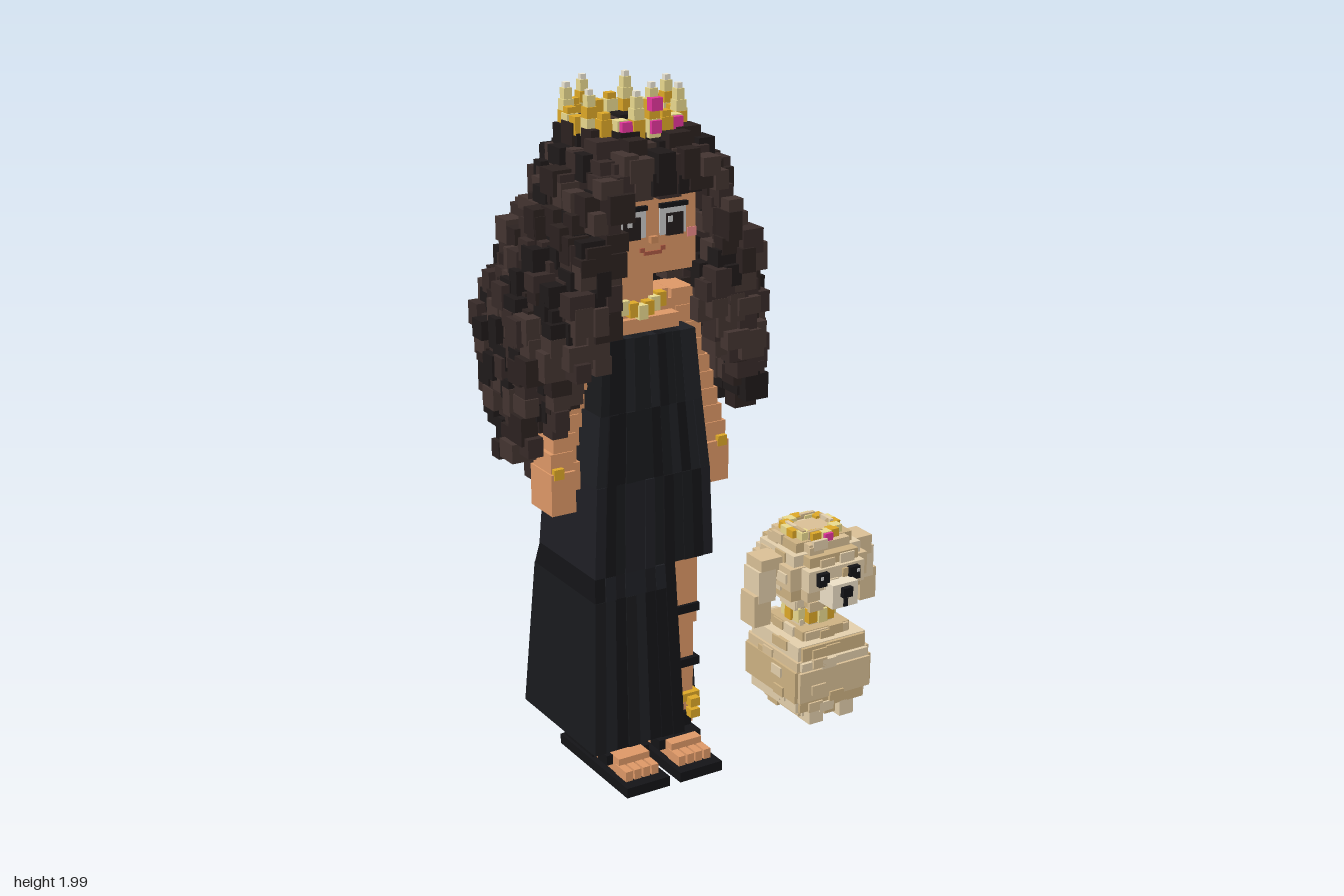
import * as THREE from 'three';
import { mergeGeometries } from 'three/addons/utils/BufferGeometryUtils.js';

const SKIN = 0xe09a68, BLACK = 0x141417, GOLD = 0xe0aa28, PALE = 0xecdc90, PINK = 0xe8379f;
const HAIR = [0x2c2220, 0x382b29, 0x1f1a1a, 0x443531];
const CLOTH = [0x141417, 0x191a1d, 0x1e1f24];
const FUR = [0xdcc298, 0xe6d2ae, 0xd0b484];

let seed = 7;
const rnd = () => (seed = (seed * 16807) % 2147483647) / 2147483647;
const pick = list => list[Math.floor(rnd() * list.length)];
const lerp = THREE.MathUtils.lerp;

// Linear interpolation in rows [y, a, b, ...] sorted by rising y
function sample(rows, y) {
  let i = 0;
  while (i < rows.length - 2 && y > rows[i + 1][0]) i++;
  const [p, q] = [rows[i], rows[i + 1]];
  const t = THREE.MathUtils.clamp((y - p[0]) / (q[0] - p[0]), 0, 1);
  return p.slice(1).map((v, k) => lerp(v, q[k + 1], t));
}

// Collects blocks by colour and merges them into one named group
class Part {
  constructor(name) { this.name = name; this.byColor = new Map(); }
  add(geo, color) {
    if (!this.byColor.has(color)) this.byColor.set(color, []);
    this.byColor.get(color).push(geo);
  }
  block(x, y, z, w, h, d, color) {
    this.add(new THREE.BoxGeometry(w, h, d).translate(x, y, z), color);
  }
  span(x0, x1, y0, y1, z0, z1, color) {
    this.block((x0 + x1) / 2, (y0 + y1) / 2, (z0 + z1) / 2, x1 - x0, y1 - y0, z1 - z0, color);
  }
  // Tapered block; lo and hi are [x0, x1, z0, z1] at the bottom and top
  taper(y0, y1, lo, hi, color) {
    const geo = new THREE.BoxGeometry(1, 1, 1), p = geo.attributes.position;
    for (let i = 0; i < p.count; i++) {
      const top = p.getY(i) > 0, r = top ? hi : lo;
      p.setXYZ(i, r[p.getX(i) > 0 ? 1 : 0], top ? y1 : y0, r[p.getZ(i) > 0 ? 3 : 2]);
    }
    geo.computeVertexNormals();
    this.add(geo, color);
  }
  build() {
    const g = new THREE.Group();
    g.name = this.name;
    for (const [color, geos] of this.byColor) {
      const m = new THREE.Mesh(mergeGeometries(geos), new THREE.MeshStandardMaterial({ color }));
      m.name = this.name + 'Blocks';
      g.add(m);
    }
    return g;
  }
}

const CX = -0.22; // middle of the woman

function head() {
  const p = new Part('head');
  p.span(-0.36, -0.085, 1.48, 1.75, -0.1, 0.19, SKIN);
  p.span(-0.3, -0.13, 1.75, 1.825, 0, 0.12, SKIN);
  p.span(-0.27, -0.17, 1.3, 1.49, 0, 0.11, SKIN);
  for (const s of [-1, 1]) {
    const x = CX + s * 0.062;
    p.block(x, 1.62, 0.19, 0.08, 0.075, 0.01, 0xe4e4e4);
    p.block(x + s * 0.004, 1.61, 0.195, 0.052, 0.06, 0.01, 0x241c1c);
    p.block(x - 0.012, 1.625, 0.199, 0.014, 0.016, 0.008, 0xffffff);
    p.block(x, 1.663, 0.195, 0.085, 0.012, 0.016, BLACK);
    p.block(x, 1.695, 0.195, 0.09, 0.014, 0.016, 0x2c2220);
    p.block(CX + s * 0.122, 1.58, 0.19, 0.028, 0.025, 0.006, 0xf08a8a);
    p.block(CX + s * 0.032, 1.548, 0.19, 0.014, 0.012, 0.01, 0xb05a44);
  }
  p.block(CX, 1.575, 0.195, 0.022, 0.018, 0.02, 0xd08c5c);
  p.block(CX, 1.538, 0.19, 0.055, 0.01, 0.01, 0xb05a44);
  return p.build();
}

// Half width, back z and front z of the hair by height
const HAIR_ROWS = [
  [0.8, 0.33, -0.32, 0.24], [1.1, 0.365, -0.32, 0.27], [1.35, 0.37, -0.305, 0.295],
  [1.55, 0.31, -0.255, 0.315], [1.7, 0.235, -0.19, 0.3], [1.79, 0.19, -0.13, 0.28], [1.85, 0.14, -0.09, 0.2],
];
// Half width of the opening in front of face, neck and dress
const OPENING = [[0.8, 0.34], [1.05, 0.31], [1.15, 0.25], [1.3, 0.17], [1.44, 0.1], [1.49, 0.15], [1.72, 0.15]];

// Height where the hair ends; x is measured from the middle of the head
function hairEnd(x, z) {
  if (z < -0.13) return 0.84 + (x > 0 ? 0.09 : 0.17) * (x / 0.3) ** 2;
  if (z > 0.19) return 1.1;
  if (x < 0) return z > 0.07 ? 0.96 : 1.12;
  return z < 0.02 ? 1.14 : 1.07;
}

function hair() {
  const p = new Part('hair'), step = 0.046;
  p.span(-0.37, -0.07, 1.45, 1.79, -0.15, 0.1, HAIR[2]);
  p.span(-0.36, -0.08, 1.73, 1.81, -0.1, 0.22, HAIR[2]);
  for (let y = 0.82; y < 1.85; y += step)
    for (let x = -0.4; x < 0.4; x += step)
      for (let z = -0.34; z < 0.34; z += step) {
        const [w, zb, zf] = sample(HAIR_ROWS, y);
        const zc = (zb + zf) / 2, n = z > zc ? 3.6 : 2.1;
        // Fuller at the front right, thinner at the back left
        const side = x < 0 ? (z > zc ? 1.03 : 1) : (z < zc ? 0.97 : 1);
        const r = Math.pow(Math.abs(x / w / side), n) + Math.pow(Math.abs((z - zc) / ((zf - zb) / 2)), n);
        if (r > 0.97 || (r < 0.3 && y < 1.74)) continue;
        const open = sample(OPENING, y)[0];
        if (y < 1.7 && z > (y > 1.47 ? 0.1 : -0.12) && Math.abs(x) < open + 0.015) continue;
        if (y > 1.76 && x > -0.08 && x < 0.09 && z > -0.02 && z < 0.13) continue;
        if (y < hairEnd(x, z) + (rnd() - 0.5) * 0.08) continue;
        const j = () => (rnd() - 0.5) * 0.03;
        p.block(CX + x + j(), y + j(), z + j(), 0.04 + rnd() * 0.035, 0.045 + rnd() * 0.035, 0.04 + rnd() * 0.035, pick(HAIR));
      }
  return p.build();
}

// Ring of blocks; the tall version gets stepped points and more gems
function ringCrown(name, cx, cy, cz, r, n, size, gems, tall) {
  const p = new Part(name);
  for (let i = 0; i < n; i++) {
    const a = i / n * Math.PI * 2, x = cx + Math.sin(a) * r, z = cz + Math.cos(a) * r;
    p.block(x, cy, z, size, size * 1.45, size, i % 2 ? GOLD : PALE);
    if (!tall) continue;
    const h = i === 0 ? 0.05 : 0.03, top = cy + size * 0.72;
    if (i % 3 === 0) {
      p.block(x, top + h / 2, z, 0.031, h, 0.031, i % 2 ? PALE : GOLD);
      p.block(x, top + h + 0.015, z, 0.024, 0.03, 0.024, PALE);
      p.block(x, top + h + 0.035, z, 0.016, 0.02, 0.016, 0xf0ead8);
    } else if (i % 3 === 1) p.block(x, top + 0.008, z, 0.026, 0.018, 0.026, GOLD);
  }
  for (const s of gems) {
    const a = s * 0.48;
    p.block(cx + Math.sin(a) * (r + size / 2), cy + 0.005, cz + Math.cos(a) * (r + size / 2), size * 0.9, size, size * 0.6, PINK);
  }
  if (tall) p.block(cx, cy + 0.065, cz + r + 0.018, 0.034, 0.034, 0.024, PINK);
  return p.build();
}

function body() {
  const p = new Part('body');
  p.span(-0.34, -0.1, 1.27, 1.34, -0.04, 0.13, SKIN);
  p.span(-0.38, -0.06, 1.3, 1.37, -0.03, 0.09, SKIN);
  p.span(-0.33, -0.11, 1.36, 1.4, -0.02, 0.09, SKIN);
  // Arms as overlapping stepped blocks, ending in a hand
  for (const s of [-1, 1]) {
    for (let i = 0; i < 9; i++) {
      const t = i / 8;
      p.block(CX + s * lerp(0.155, 0.245, t), 1.35 - 0.4 * t, 0.04 + 0.03 * t, 0.07, 0.09, 0.1, SKIN);
    }
    p.block(CX + s * 0.247, 0.88, 0.07, 0.075, 0.12, 0.12, SKIN);
    p.block(CX + s * 0.205, 0.92, 0.1, 0.03, 0.08, 0.04, SKIN);
    p.block(CX + s * 0.262, 0.94, 0.11, 0.03, 0.03, 0.05, GOLD);
  }
  // Bare hip, the leg in the slit and the other ankle
  p.span(-0.14, -0.03, 0.66, 1.0, -0.05, 0.15, SKIN);
  p.span(-0.155, -0.04, 0.4, 0.67, 0.03, 0.13, SKIN);
  p.span(-0.15, -0.05, 0.08, 0.41, 0.03, 0.125, SKIN);
  p.span(-0.35, -0.25, 0.04, 0.2, 0, 0.11, SKIN);
  return p.build();
}

// Dress rows: x0, x1, z0, z1 by height
const DRESS = [
  [0.12, -0.44, 0, -0.18, 0.23], [0.57, -0.418, -0.03, -0.142, 0.205], [0.64, -0.415, -0.035, -0.115, 0.2],
  [0.9, -0.4, -0.04, -0.1, 0.19], [1.1, -0.38, -0.06, -0.08, 0.18], [1.3, -0.36, -0.07, -0.06, 0.16],
];

function dress() {
  const p = new Part('dress'), n = 12;
  for (let k = 0; k < DRESS.length - 1; k++)
    for (let i = 0; i < n; i++) {
      const bump = rnd() * 0.01, slit = DRESS[k][0] < 0.64 && i >= 8;
      const strip = ([, x0, x1, z0, z1]) => [lerp(x0, x1, i / n), lerp(x0, x1, (i + 1) / n), z0 - bump, slit ? 0.06 : z1 + bump];
      p.taper(DRESS[k][0], DRESS[k + 1][0], strip(DRESS[k]), strip(DRESS[k + 1]), pick(CLOTH));
    }
  return p.build();
}

function shoes() {
  const p = new Part('sandals');
  for (const x of [-0.305, -0.13]) {
    p.block(x, 0.015, 0.105, 0.14, 0.03, 0.39, BLACK);
    p.block(x, 0.05, 0.0, 0.12, 0.05, 0.17, BLACK);
    p.block(x, 0.055, 0.13, 0.1, 0.05, 0.18, SKIN);
    p.block(x, 0.065, 0.16, 0.14, 0.03, 0.05, BLACK);
    p.block(x, 0.1, 0.07, 0.13, 0.045, 0.14, BLACK);
    for (let i = 0; i < 4; i++) p.block(x - 0.042 + i * 0.028, 0.045, 0.235, 0.022, 0.03, 0.06, SKIN);
  }
  return p.build();
}

function jewellery() {
  const p = new Part('jewellery');
  // Necklace
  for (let i = -3; i <= 3; i++)
    p.block(CX + i * 0.024, 1.36 + Math.abs(i) * 0.007, 0.13 - Math.abs(i) * 0.008, 0.028, 0.04, 0.03, i % 2 ? GOLD : PALE);
  // Leg straps with studs, and an anklet
  for (const y of [0.28, 0.45]) {
    p.block(-0.097, y, 0.085, 0.12, 0.025, 0.11, BLACK);
    p.block(-0.14, y, 0.145, 0.025, 0.025, 0.02, GOLD);
  }
  p.block(-0.1, 0.17, 0.08, 0.125, 0.025, 0.125, GOLD);
  for (const x of [-0.15, -0.065]) for (const y of [0.125, 0.16]) p.block(x, y, 0.15, 0.03, 0.026, 0.03, GOLD);
  return p.build();
}

function dog() {
  const p = new Part('dog'), x = 0.39, z = 0.08;
  // Stacked layers: y0, y1, half width, half depth
  const layers = [
    [0.02, 0.05, 0.095, 0.1], [0.05, 0.09, 0.125, 0.13], [0.09, 0.19, 0.138, 0.145], [0.19, 0.22, 0.13, 0.143],
    [0.22, 0.265, 0.122, 0.135], [0.265, 0.295, 0.085, 0.1], [0.295, 0.39, 0.06, 0.062], [0.365, 0.4, 0.09, 0.095],
    [0.4, 0.44, 0.125, 0.12], [0.44, 0.51, 0.138, 0.14], [0.51, 0.545, 0.12, 0.125], [0.545, 0.575, 0.1, 0.1], [0.575, 0.59, 0.06, 0.06],
  ];
  layers.forEach(([y0, y1, w, d], i) => {
    // Clipped corners on the head, square body
    const c = i > 5 ? 0.72 : 0.92;
    p.span(x - w, x + w, y0, y1, z - d * c, z + d * c, FUR[i % 3]);
    p.span(x - w * c, x + w * c, y0 + 0.002, y1 - 0.002, z - d, z + d, FUR[(i + 1) % 3]);
    // Uneven tufts on all sides
    for (let k = 0; k < 8; k++) {
      const o = (rnd() - 0.5) * w, s = k % 2 ? 1 : -1, y = lerp(y0, y1, rnd());
      if (k < 4) p.block(x + o, y, z + s * d, 0.05, 0.03, 0.012, pick(FUR));
      else p.block(x + s * w, y, z + o, 0.012, 0.03, 0.05, pick(FUR));
    }
  });
  // Muzzle, nose and tail
  p.span(x - 0.045, x + 0.045, 0.395, 0.47, 0.18, 0.265, 0xefe2c8);
  p.block(x, 0.445, 0.27, 0.034, 0.03, 0.02, BLACK);
  p.block(x, 0.41, 0.266, 0.014, 0.025, 0.008, BLACK);
  p.block(x, 0.15, -0.07, 0.05, 0.05, 0.03, FUR[1]);
  for (const s of [-1, 1]) {
    // Eye, ear and paws
    p.block(x + s * 0.055, 0.48, 0.225, 0.036, 0.04, 0.025, BLACK);
    p.block(x + s * 0.065, 0.488, 0.237, 0.01, 0.01, 0.006, 0xffffff);
    p.block(x + s * 0.155, 0.5, z, 0.09, 0.06, 0.08, FUR[0]);
    p.block(x + s * 0.178, 0.445, z, 0.06, 0.1, 0.08, FUR[1]);
    p.block(x + s * 0.192, 0.37, z, 0.058, 0.1, 0.075, FUR[0]);
    for (const fz of [0.0, 0.18]) p.block(x + s * 0.055, 0.03, fz, 0.05, 0.05, 0.06, FUR[1]);
  }
  return p.build();
}

export function createModel() {
  const model = new THREE.Group();
  model.name = 'womanWithDog';
  model.add(
    head(), hair(), body(), dress(), shoes(), jewellery(), dog(),
    ringCrown('crown', CX, 1.874, 0.04, 0.15, 22, 0.034, [-1, 0, 1], true),
    ringCrown('dogCrown', 0.39, 0.575, 0.08, 0.072, 14, 0.032, [0], false),
    ringCrown('dogCollar', 0.39, 0.325, 0.08, 0.062, 12, 0.03, [], false),
  );
  return model;
}
